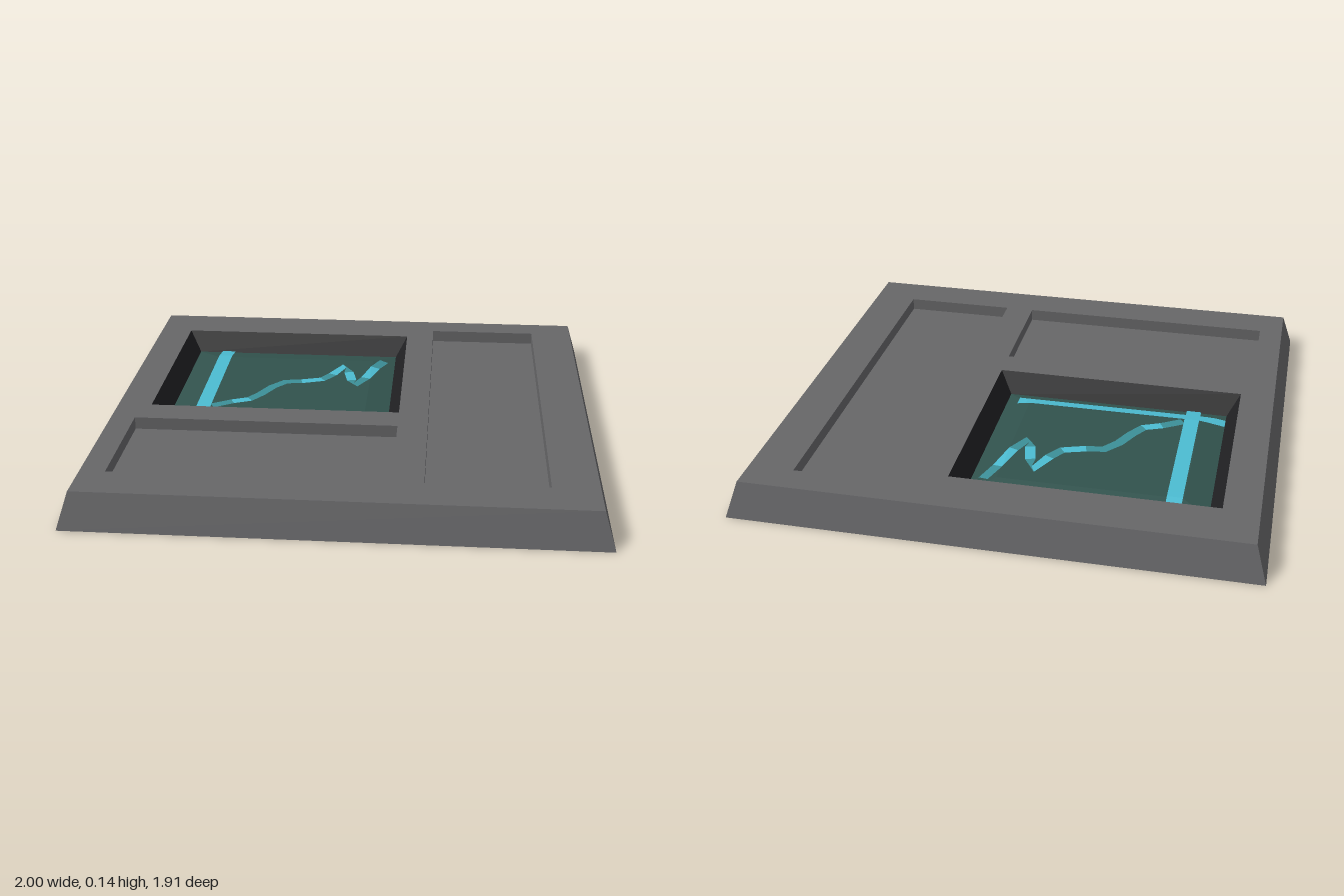
import * as THREE from 'three';

const paint = (name, color) => {
  const m = new THREE.MeshStandardMaterial({ color, side: THREE.DoubleSide });
  m.name = name;
  return m;
};

// Rectangles are [x0, x1, z0, z1]
const BASE = [-1, 1, -0.957, 0.957];
const TOP = [-0.957, 0.957, -0.917, 0.915];
const TUB = [-0.82, 0.2, -0.72, 0.14];
const SCREEN = [-0.77, 0.15, -0.68, 0.1];
const CROWN = [-0.67, 0.05, -0.58, 0.0];
const PANELS = { front: [-0.86, 0.2, 0.27, 0.75], side: [0.32, 0.78, -0.8, 0.75] };
const TOP_Y = 0.14, PANEL_Y = 0.09, EDGE_Y = 0.05, CROWN_Y = 0.068;

const corners = ([x0, x1, z0, z1], y) => [[x0, y, z1], [x1, y, z1], [x1, y, z0], [x0, y, z0]];

// Flat-faced geometry from counter-clockwise quads
function quadGeometry(quads) {
  const pos = quads.flatMap(([a, b, c, d]) => [a, b, c, a, c, d]).flat();
  const g = new THREE.BufferGeometry();
  g.setAttribute('position', new THREE.Float32BufferAttribute(pos, 3));
  g.computeVertexNormals();
  return g;
}

// Four sides joining a lower and an upper rectangle, facing outward or inward
function sides(low, lowY, high, highY, inward = false) {
  const a = corners(low, lowY), b = corners(high, highY);
  return a.map((p, i) => {
    const j = (i + 1) % 4;
    const q = [p, a[j], b[j], b[i]];
    return inward ? q.reverse() : q;
  });
}

// Height of the raised glass
function glassY(x, z) {
  const [x0, x1, z0, z1] = SCREEN;
  const d = Math.min(x - x0, x1 - x, z - z0, z1 - z);
  return EDGE_Y + (CROWN_Y - EDGE_Y) * THREE.MathUtils.clamp(d / 0.1, 0, 1);
}

// Quads of a ribbon along [x, z] points, following the glass at an offset
function ribbon(points, width, offset) {
  const edge = points.map((p, i) => {
    const a = points[Math.max(i - 1, 0)], b = points[Math.min(i + 1, points.length - 1)];
    const dx = b[0] - a[0], dz = b[1] - a[1], l = Math.hypot(dx, dz);
    return [-1, 1].map(s => {
      const x = p[0] - s * dz / l * width / 2, z = p[1] + s * dx / l * width / 2;
      return [x, glassY(x, z) + offset, z];
    });
  });
  return edge.slice(1).map((e, i) => {
    const q = [edge[i][1], e[1], e[0], edge[i][0]];
    return offset < 0 ? q.reverse() : q;
  });
}

export function createModel() {
  const model = new THREE.Group();
  model.name = 'displayConsole';
  const grey = paint('casingGrey', 0x666668);
  const black = paint('bezelBlack', 0x202022);
  const glass = paint('glassTeal', 0x31524d);
  const bright = paint('brightCyan', 0x4cbcd2);
  const dim = paint('dimCyan', 0x3c8f98);
  const add = (name, geometry, material) => {
    const mesh = new THREE.Mesh(geometry, material);
    mesh.name = name;
    model.add(mesh);
  };

  // Hollow casing: sloped skirt and a top plate with three openings
  add('skirt', quadGeometry(sides(BASE, 0, TOP, TOP_Y)), grey);
  const outline = r => corners(r, 0).map(([x, , z]) => new THREE.Vector2(x, -z));
  const plate = new THREE.Shape(outline(TOP));
  for (const r of [TUB, ...Object.values(PANELS)]) plate.holes.push(new THREE.Path(outline(r)));
  add('topPlate', new THREE.ShapeGeometry(plate).rotateX(-Math.PI / 2).translate(0, TOP_Y, 0), grey);

  // Shallow recessed panels
  for (const [name, r] of Object.entries(PANELS)) {
    add(name + 'Recess', quadGeometry([...sides(r, PANEL_Y, r, TOP_Y, true), corners(r, PANEL_Y)]), grey);
  }

  // Sunken bezel and raised screen
  add('screenBezel', quadGeometry(sides(SCREEN, EDGE_Y, TUB, TOP_Y, true)), black);
  add('screenGlass', quadGeometry([...sides(SCREEN, EDGE_Y, CROWN, CROWN_Y), corners(CROWN, CROWN_Y)]), glass);

  // Chart axes
  const line = (a, b, n = 24) => Array.from({ length: n + 1 }, (_, i) =>
    [a[0] + (b[0] - a[0]) * i / n, a[1] + (b[1] - a[1]) * i / n]);
  const axes = {
    verticalAxis: [line([-0.635, -0.68], [-0.635, 0.1]), 0.06],
    horizontalAxis: [line([-0.77, 0.025], [0.1, 0.025]), 0.05],
  };
  for (const [name, [points, width]] of Object.entries(axes)) {
    add(name, quadGeometry(ribbon(points, width, 0.006)), bright);
    add(name + 'Underside', quadGeometry(ribbon(points, width, -0.003)), dim);
  }

  // Chart curve, with a few brighter stretches
  const curve = [
    [-0.6, -0.02], [-0.52, -0.07], [-0.45, -0.1], [-0.41, -0.16], [-0.37, -0.24], [-0.32, -0.3],
    [-0.25, -0.31], [-0.16, -0.34], [-0.12, -0.4], [-0.075, -0.5], [-0.05, -0.43], [-0.03, -0.34],
    [-0.01, -0.29], [0.03, -0.37], [0.065, -0.5], [0.1, -0.59],
  ];
  const glowing = [1, 6, 8, 10, 13];
  const pieces = ribbon(curve, 0.042, 0.004);
  add('chartCurve', quadGeometry(pieces.filter((_, i) => !glowing.includes(i))), dim);
  add('chartCurveGlow', quadGeometry(pieces.filter((_, i) => glowing.includes(i))), bright);
  add('chartCurveUnderside', quadGeometry(ribbon(curve, 0.042, -0.002)), dim);

  return model;
}
